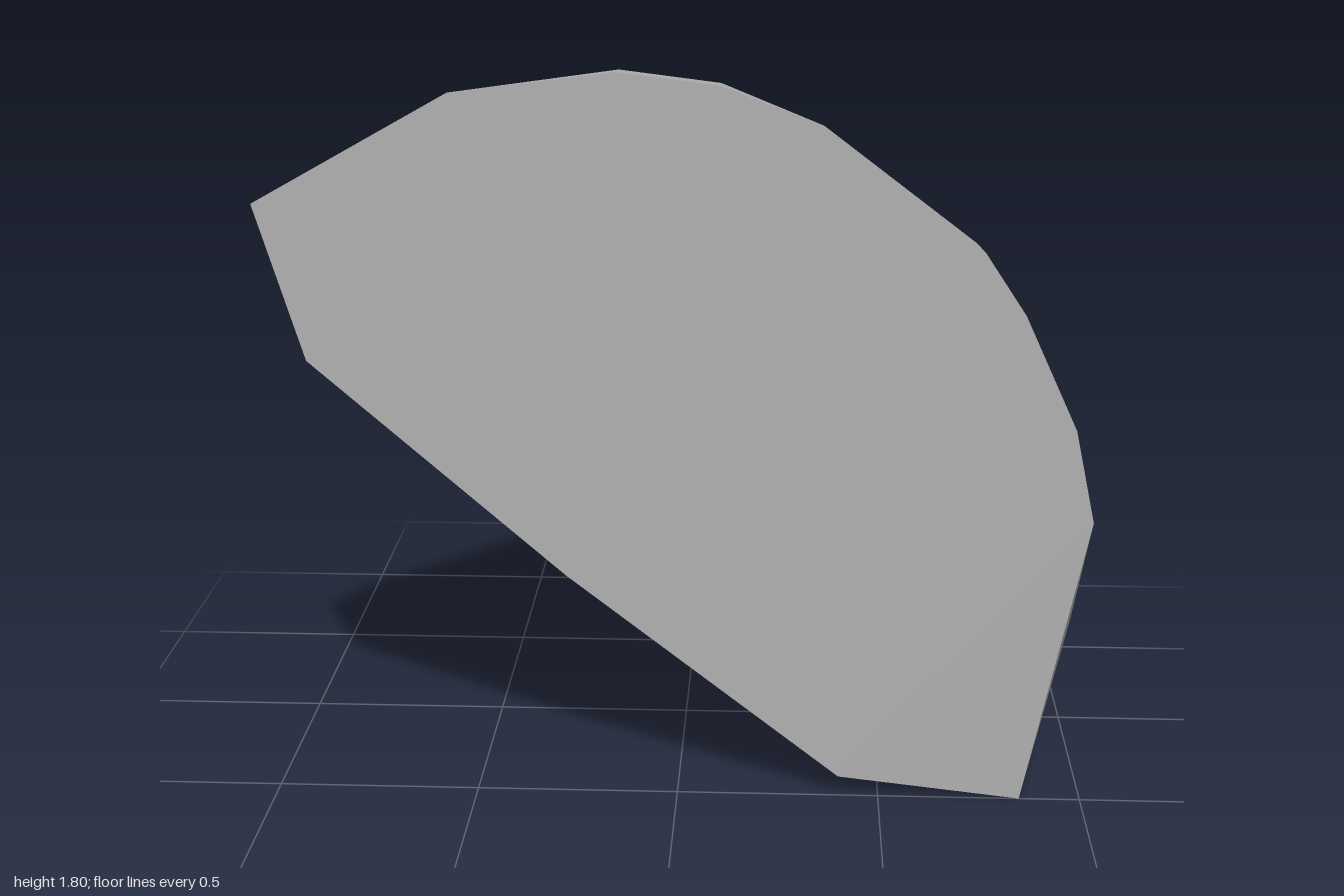
import * as THREE from 'three';
import { ConvexGeometry } from 'three/addons/geometries/ConvexGeometry.js';

// Faceted stone fragment: a flat cut front, chamfered rim and a narrow slanted back.
export function createModel() {
  const group = new THREE.Group();
  group.name = 'rockFragment';
  const stone = new THREE.MeshStandardMaterial({ color: 0xb0b0b0 });
  stone.name = 'stoneGrey';
  stone.flatShading = true;

  // flat front outline
  const front = [
    [-1, 1.49], [-0.53, 1.755], [-0.14, 1.805], [0.1, 1.775], [0.34, 1.685],
    [0.72, 1.39], [0.82, 1.24], [0.95, 0.96], [1, 0.73],
    [0.4, 0.055], [-0.27, 0.575], [-0.885, 1.11],
  ].map(([x, y]) => [x, y, 0.51]);

  // rim behind the front edge
  const rim = [
    [0.85, 0, 0.5], [0.975, 0.41, 0.34], [0.995, 0.73, 0.36], [0.935, 0.96, 0.31],
    [0.815, 1.21, 0.35], [0.78, 1.28, 0.33], [0.71, 1.38, 0.36], [0.34, 1.65, 0.36],
    [0.1, 1.765, 0.4], [-0.14, 1.795, 0.4], [-0.54, 1.735, 0.44], [-0.57, 1.67, 0.3],
  ];

  // lower and outer corners of the sides
  const sides = [
    [-0.91, 1.39, 0.24], [-0.87, 1.095, 0.24], [-0.18, 0.365, 0.02], [0.4, 0.055, 0.2],
  ];

  // bevel around the back ridge
  const bevel = [
    [0.28, 0.3, -0.45], [0.55, 0.39, -0.46], [0.64, 0.56, -0.33], [0.56, 0.68, -0.45],
    [-0.1, 1.42, -0.43], [-0.2, 1.425, -0.43], [-0.36, 1.28, -0.46], [-0.35, 1.13, -0.46],
  ];

  // flat narrow back
  const back = [
    [0.31, 0.39, -0.51], [0.5, 0.4, -0.51], [0.46, 0.66, -0.51], [-0.12, 1.34, -0.51],
    [-0.24, 1.31, -0.51], [-0.27, 1.27, -0.51], [-0.25, 1.08, -0.51],
  ];

  const points = [...front, ...rim, ...sides, ...bevel, ...back]
    .map((p) => new THREE.Vector3(...p));
  const rock = new THREE.Mesh(new ConvexGeometry(points), stone);
  rock.name = 'rock';
  group.add(rock);
  return group;
}
